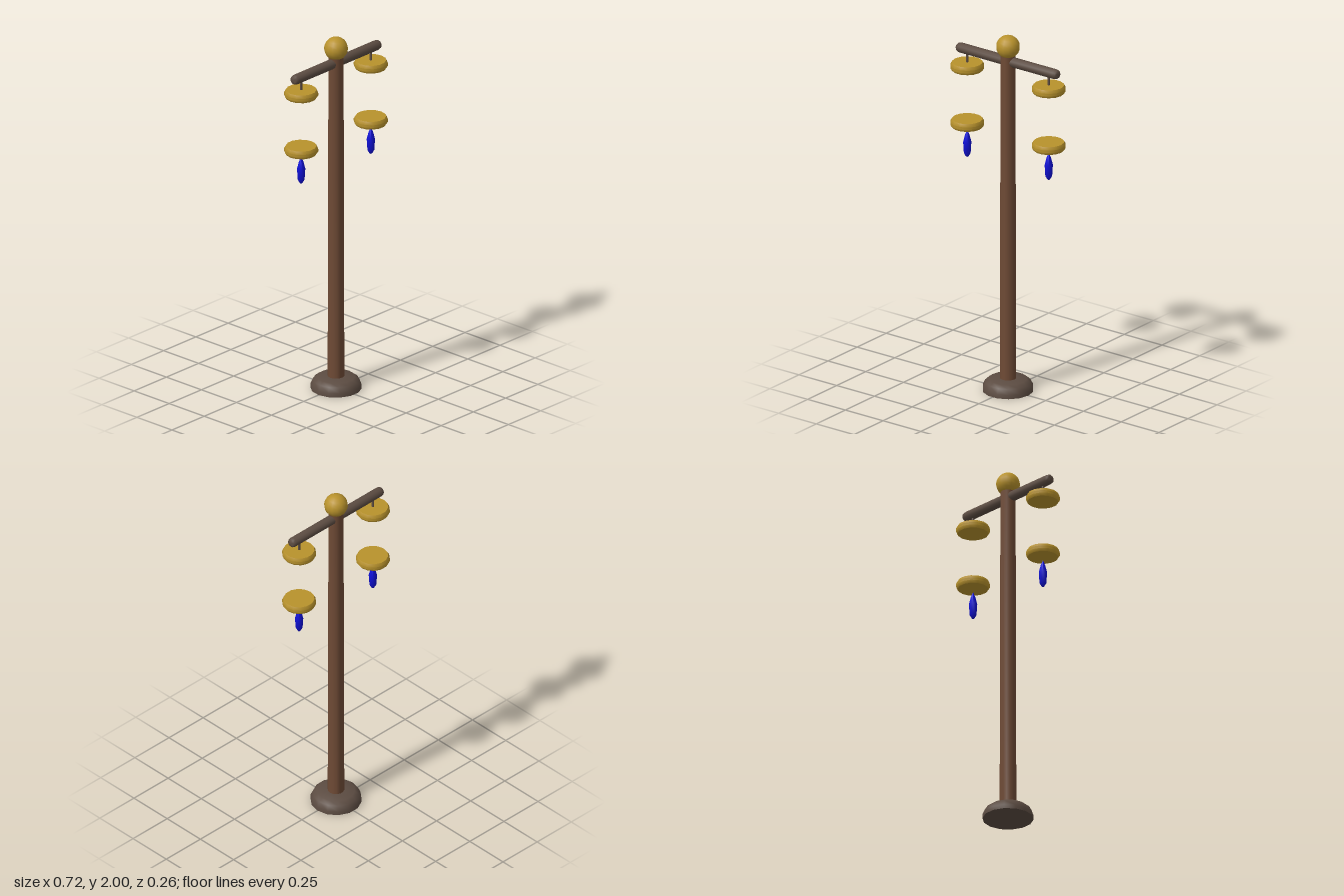
import * as THREE from 'three';
import { toCreasedNormals } from 'three/addons/utils/BufferGeometryUtils.js';

const mat = (name, color) => {
  const m = new THREE.MeshStandardMaterial({ color });
  m.name = name;
  return m;
};

// Turned part: profile of [radius, height] from bottom to top, a corner facing +x
function turned(name, profile, material, sides = 14) {
  const points = profile.map(([r, y]) => new THREE.Vector2(r, y));
  const geometry = new THREE.LatheGeometry(points, sides, Math.PI / 2);
  const mesh = new THREE.Mesh(toCreasedNormals(geometry, 0.95), material);
  mesh.name = name;
  return mesh;
}

export function createModel() {
  const wood = mat('brown wood', 0x6e4a35);
  const iron = mat('dark iron', 0x5c4c42);
  const brass = mat('brass', 0xb8922c);
  const blue = mat('blue', 0x1010d8);

  const model = new THREE.Group();
  model.name = 'lampPost';

  // Foot, post and finial
  model.add(turned('base', [[0, 0], [0.135, 0], [0.135, 0.022], [0.122, 0.05], [0.1, 0.066], [0.04, 0.07], [0, 0.07]], iron));
  model.add(turned('post', [[0, 0.05], [0.044, 0.05], [0.04, 1.89], [0, 1.89]], wood));
  const finial = new THREE.Mesh(new THREE.SphereGeometry(0.063, 14, 12), brass);
  finial.name = 'finial';
  finial.position.y = 1.937;
  model.add(finial);

  // Crossbar with rounded ends
  const bar = turned('crossbar', [[0, -0.334], [0.017, -0.334], [0.024, -0.327], [0.027, -0.312],
    [0.027, 0.312], [0.024, 0.327], [0.017, 0.334], [0, 0.334]], iron, 12);
  bar.rotation.z = Math.PI / 2;
  bar.position.y = 1.857;
  model.add(bar);

  // Hanging lanterns, one on each side
  const disc = [[0, -0.022], [0.081, -0.022], [0.09, -0.008], [0.09, 0.006], [0.081, 0.022], [0, 0.022]];
  for (const side of [-1, 1]) {
    const lantern = new THREE.Group();
    lantern.name = side > 0 ? 'leftLantern' : 'rightLantern';
    lantern.position.x = side * 0.27;

    lantern.add(turned('hanger', [[0, 1.77], [0.007, 1.77], [0.007, 1.845], [0, 1.845]], iron, 8));
    const top = turned('lanternCap', disc, brass);
    top.position.y = 1.764;
    const bottom = turned('lanternFloor', disc, brass);
    bottom.position.y = 1.444;
    lantern.add(top, bottom);

    // Pointed blue pendant
    lantern.add(turned('pendant', [[0, 1.25], [0.007, 1.253], [0.018, 1.272], [0.022, 1.335], [0.012, 1.375], [0, 1.405]], blue, 8));
    model.add(lantern);
  }
  return model;
}
